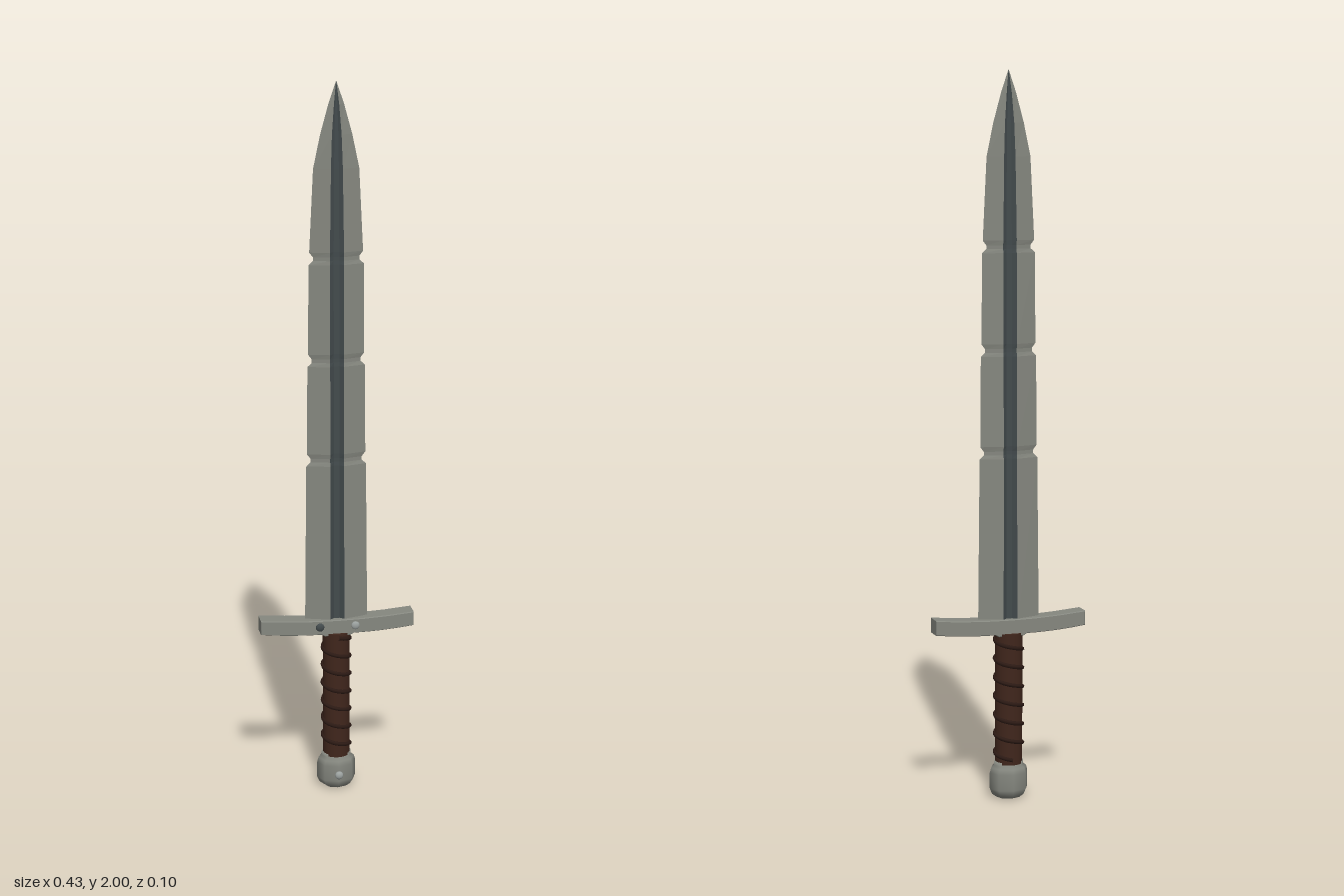
import * as THREE from 'three';

const material = (name, color, extra = {}) => {
  const m = new THREE.MeshStandardMaterial({ color, ...extra });
  m.name = name;
  return m;
};

export function createModel() {
  const sword = new THREE.Group();
  sword.name = 'sword';
  const steel = material('steel', 0x85877f);
  const darkSteel = material('dark steel', 0x434b4d);
  const leather = material('leather', 0x40261c);
  const cord = material('dark leather cord', 0x2c1a14);
  const stud = material('polished stud', 0x9ca2a0);

  const add = (name, geometry, mat, x = 0, y = 0, z = 0) => {
    const mesh = new THREE.Mesh(geometry, mat);
    mesh.name = name;
    mesh.position.set(x, y, z);
    sword.add(mesh);
    return mesh;
  };
  const Z = -0.006; // centre plane of blade and grip

  // Blade rows: height, half width, ridge offset, ridge thickness
  const rows = [[0.49, 0.088, 0.02, 0.018]];
  const notch = (y, w, t) => rows.push(
    [y - 0.018, w, 0.019, t], [y - 0.007, w - 0.012, 0.019, t * 0.86],
    [y + 0.003, w - 0.012, 0.019, t * 0.86], [y + 0.016, w - 0.002, 0.019, t]);
  notch(0.97, 0.083, 0.0165);
  notch(1.25, 0.079, 0.015);
  notch(1.53, 0.075, 0.013);
  rows.push([1.77, 0.062, 0.016, 0.011], [1.86, 0.043, 0.013, 0.009],
    [1.94, 0.021, 0.007, 0.006], [2.0, 0.0005, 0.0003, 0.0003]);

  // Cross-section, counter-clockwise from above
  const section = ([y, w, f, t]) => [
    [w, 0], [f, -t], [f * 0.4, -t * 0.4], [-f * 0.4, -t * 0.4], [-f, -t],
    [-w, 0], [-f, t], [-f * 0.4, t * 0.4], [f * 0.4, t * 0.4], [f, t],
  ].map(([x, z]) => [x, y, z]);
  const strip = (sides) => {
    const p = [];
    for (let r = 0; r < rows.length - 1; r++) {
      const a = section(rows[r]), b = section(rows[r + 1]);
      for (const i of sides) {
        const j = (i + 1) % 10;
        p.push(...a[i], ...a[j], ...b[j], ...a[i], ...b[j], ...b[i]);
      }
    }
    const g = new THREE.BufferGeometry();
    g.setAttribute('position', new THREE.Float32BufferAttribute(p, 3));
    g.computeVertexNormals();
    return g;
  };
  add('bladeEdges', strip([0, 4, 5, 9]), steel, 0, 0, Z);
  add('bladeFuller', strip([1, 2, 3, 6, 7, 8]), darkSteel, 0, 0, Z);

  // Crossguard with upswept arms
  const s = new THREE.Shape();
  s.moveTo(-0.214, 0.479);
  s.quadraticCurveTo(-0.13, 0.468, -0.045, 0.468);
  s.lineTo(-0.035, 0.462);
  s.lineTo(0.035, 0.462);
  s.lineTo(0.045, 0.468);
  s.quadraticCurveTo(0.13, 0.468, 0.214, 0.479);
  s.lineTo(0.214, 0.516);
  s.quadraticCurveTo(0, 0.494, -0.214, 0.516);
  const guard = new THREE.ExtrudeGeometry(s, {
    depth: 0.046, curveSegments: 6, bevelThickness: 0.003, bevelSize: 0.002, bevelSegments: 1,
  });
  add('crossguard', guard, steel, 0, 0, Z - 0.023);

  // Grip with a spiral cord
  add('grip', new THREE.CylinderGeometry(0.038, 0.038, 0.37, 20), leather, 0, 0.283, Z);
  const turns = 6.5, points = [];
  for (let i = 0; i <= turns * 12; i++) {
    const a = (i / 12) * Math.PI * 2;
    points.push(new THREE.Vector3(
      0.038 * Math.sin(a), 0.458 - (0.345 * i) / (turns * 12), 0.038 * Math.cos(a)));
  }
  add('gripCord', new THREE.TubeGeometry(new THREE.CatmullRomCurve3(points), 180, 0.006, 6), cord, 0, 0, Z);

  // Pommel and its collar
  const profile = [[0, 0], [0.034, 0.001], [0.048, 0.011], [0.055, 0.027], [0.055, 0.072],
    [0.051, 0.086], [0.042, 0.093], [0.042, 0.104], [0, 0.104]]
    .map(([x, y]) => new THREE.Vector2(x, y));
  add('pommel', new THREE.LatheGeometry(profile, 8), steel, 0, 0, Z).scale.z = 0.84;

  // Flattened studs
  const addStud = (name, mat, x, y, z, depth) =>
    add(name, new THREE.SphereGeometry(0.012, 12, 8), mat, x, y, z).scale.z = depth;
  addStud('guardStudRight', darkSteel, -0.05, 0.489, 0.02, 0.5);
  addStud('guardStudLeft', stud, 0.05, 0.489, 0.02, 0.5);
  addStud('pommelStud', stud, 0, 0.047, 0.042, 0.7);

  return sword;
}
